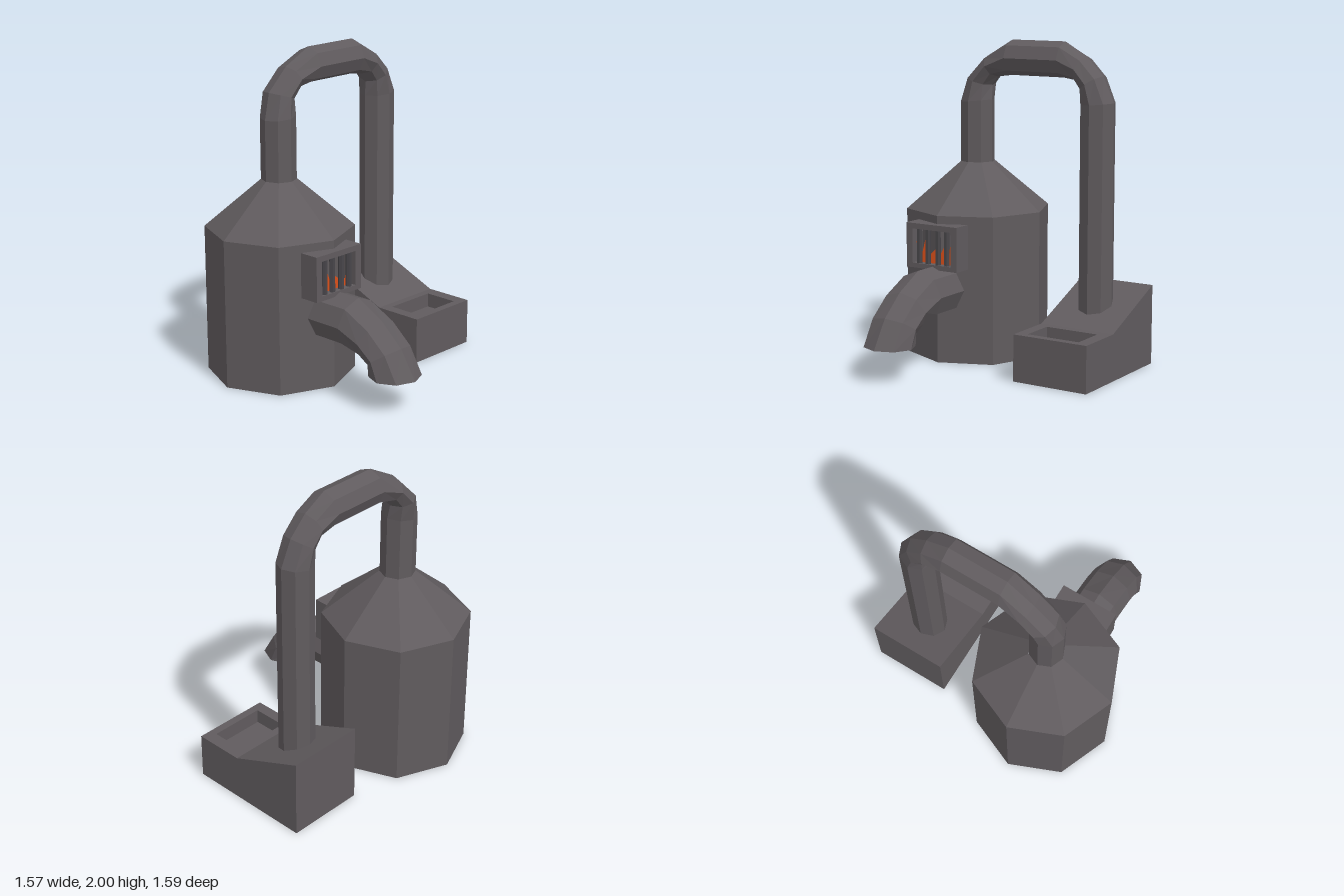
import * as THREE from 'three';

const CX = -0.33, CZ = 0.33;

// flat-shaded geometry from quads [a, b, c, d], counter-clockwise from outside
function quadGeometry(quads) {
  const pos = [];
  for (const [a, b, c, d] of quads) pos.push(...a, ...b, ...c, ...a, ...c, ...d);
  const g = new THREE.BufferGeometry();
  g.setAttribute('position', new THREE.Float32BufferAttribute(pos, 3));
  g.computeVertexNormals();
  return g;
}

// eight-sided bent tube; each ring is [outer a, outer b, inner a, inner b, side shift]
function bentTube(rings, halfWidth, place, capEnd) {
  const loops = rings.map(([oa, ob, ia, ib, shift = 0]) =>
    Array.from({ length: 8 }, (_, j) => {
      const t = j * Math.PI / 4, c = Math.cos(t) / 2;
      return place((oa + ia) / 2 + (oa - ia) * c, (ob + ib) / 2 + (ob - ib) * c,
        shift + halfWidth * Math.sin(t));
    }));
  const quads = [];
  for (let i = 0; i + 1 < loops.length; i++) {
    for (let j = 0; j < 8; j++) {
      const k = (j + 1) % 8;
      quads.push([loops[i][j], loops[i][k], loops[i + 1][k], loops[i + 1][j]]);
    }
  }
  if (capEnd) {
    const e = loops[loops.length - 1];
    for (const j of [0, 2, 4]) quads.push([e[0], e[j + 1], e[j + 2], e[(j + 3) % 8]].slice(0, 4));
  }
  return quadGeometry(quads);
}

export function createModel() {
  const model = new THREE.Group();
  const material = (name, color) => {
    const m = new THREE.MeshStandardMaterial({ color, flatShading: true, side: THREE.DoubleSide });
    m.name = name;
    return m;
  };
  const iron = material('iron grey', 0x605b5e);
  const darkIron = material('dark iron', 0x48464a);
  const fire = material('fire orange', 0xdc501a);

  const add = (name, geometry, mat, x = 0, y = 0, z = 0, parent = model) => {
    const mesh = new THREE.Mesh(geometry, mat);
    mesh.name = name;
    mesh.position.set(x, y, z);
    parent.add(mesh);
    return mesh;
  };

  // boiler, open underneath
  add('boilerBody', new THREE.CylinderGeometry(0.46, 0.46, 0.93, 8, 1, true), iron, CX, 0.465, CZ);
  add('boilerCone', new THREE.CylinderGeometry(0.11, 0.46, 0.295, 8, 1, true), iron, CX, 1.0775, CZ);

  // pipe arching back from the boiler to the trough
  add('archPipe', bentTube([
    [0.44, 1.21, 0.225, 1.21],
    [0.44, 1.6, 0.225, 1.62],
    [0.39, 1.76, 0.23, 1.71, -0.015],
    [0.25, 1.9, 0.19, 1.765, -0.012],
    [0.07, 2, 0.07, 1.78],
    [-0.31, 2, -0.3, 1.78],
    [-0.46, 1.915, -0.4, 1.765],
    [-0.575, 1.8, -0.435, 1.71],
    [-0.65, 1.64, -0.43, 1.62],
    [-0.65, 0.35, -0.43, 0.35],
  ], 0.11, (z, y, w) => [CX + w, y, z], false), iron);

  // curved spout on the left side
  add('spout', bentTube([
    [0, 0.62, 0, 0.31],
    [0.33, 0.62, 0.29, 0.31],
    [0.52, 0.52, 0.42, 0.29],
    [0.67, 0.39, 0.48, 0.26],
    [0.78, 0.215, 0.47, 0.205],
  ], 0.158, (x, y, w) => [x, y, CZ + w], true), iron);

  // trough: sloped block with a shallow basin, open underneath
  const x0 = -0.58, x1 = -0.08, x2 = 0.24, zb = -0.8, zf = -0.3, hi = 0.5, lo = 0.29;
  const bx0 = -0.03, bx1 = 0.19, bz0 = -0.72, bz1 = -0.37, floor = 0.2;
  const ring = (ax, bx, az, bz, y) => [[ax, y, bz], [bx, y, bz], [bx, y, az], [ax, y, az]];
  const rim = ring(x1, x2, zb, zf, lo);
  const lip = ring(bx0, bx1, bz0, bz1, lo);
  const base = ring(bx0, bx1, bz0, bz1, floor);
  const trough = [
    [[x0, 0, zf], [x1, 0, zf], [x1, lo, zf], [x0, hi, zf]],
    [[x1, 0, zf], [x2, 0, zf], [x2, lo, zf], [x1, lo, zf]],
    [[x1, 0, zb], [x0, 0, zb], [x0, hi, zb], [x1, lo, zb]],
    [[x2, 0, zb], [x1, 0, zb], [x1, lo, zb], [x2, lo, zb]],
    [[x0, 0, zb], [x0, 0, zf], [x0, hi, zf], [x0, hi, zb]],
    [[x2, 0, zf], [x2, 0, zb], [x2, lo, zb], [x2, lo, zf]],
    [[x0, hi, zf], [x1, lo, zf], [x1, lo, zb], [x0, hi, zb]],
    base,
  ];
  for (let i = 0; i < 4; i++) {
    const k = (i + 1) % 4;
    trough.push([rim[i], rim[k], lip[k], lip[i]], [lip[i], lip[k], base[k], base[i]]);
  }
  add('trough', quadGeometry(trough), iron);

  // firebox frame around a barred window
  const firebox = new THREE.Group();
  firebox.name = 'firebox';
  model.add(firebox);
  const bar = (name, y0, y1, z0, z1) => add(name, new THREE.BoxGeometry(0.13, y1 - y0, z1 - z0),
    iron, 0.115, (y0 + y1) / 2, (z0 + z1) / 2, firebox);
  bar('frameBottom', 0.6, 0.63, 0.15, 0.525);
  bar('frameTop', 0.845, 0.88, 0.15, 0.525);
  bar('frameBack', 0.63, 0.845, 0.15, 0.195);
  bar('frameFront', 0.63, 0.845, 0.48, 0.525);
  for (const z of [0.44, 0.375, 0.3, 0.235]) {
    add('grateBar', new THREE.CylinderGeometry(0.018, 0.018, 0.215, 6), darkIron, 0.16, 0.7375, z, firebox);
  }

  // jagged flame behind the bars
  const flame = new THREE.Shape([
    [-0.14, 0.63], [0.142, 0.63], [0.142, 0.81], [0.12, 0.77], [0.095, 0.67], [0.07, 0.745],
    [0.04, 0.69], [0, 0.72], [-0.03, 0.69], [-0.07, 0.79], [-0.1, 0.68], [-0.14, 0.76],
  ].map(([a, b]) => new THREE.Vector2(a, b)));
  add('flame', new THREE.ShapeGeometry(flame), fire, 0.136, 0, 0.34, firebox).rotation.y = Math.PI / 2;

  return model;
}
